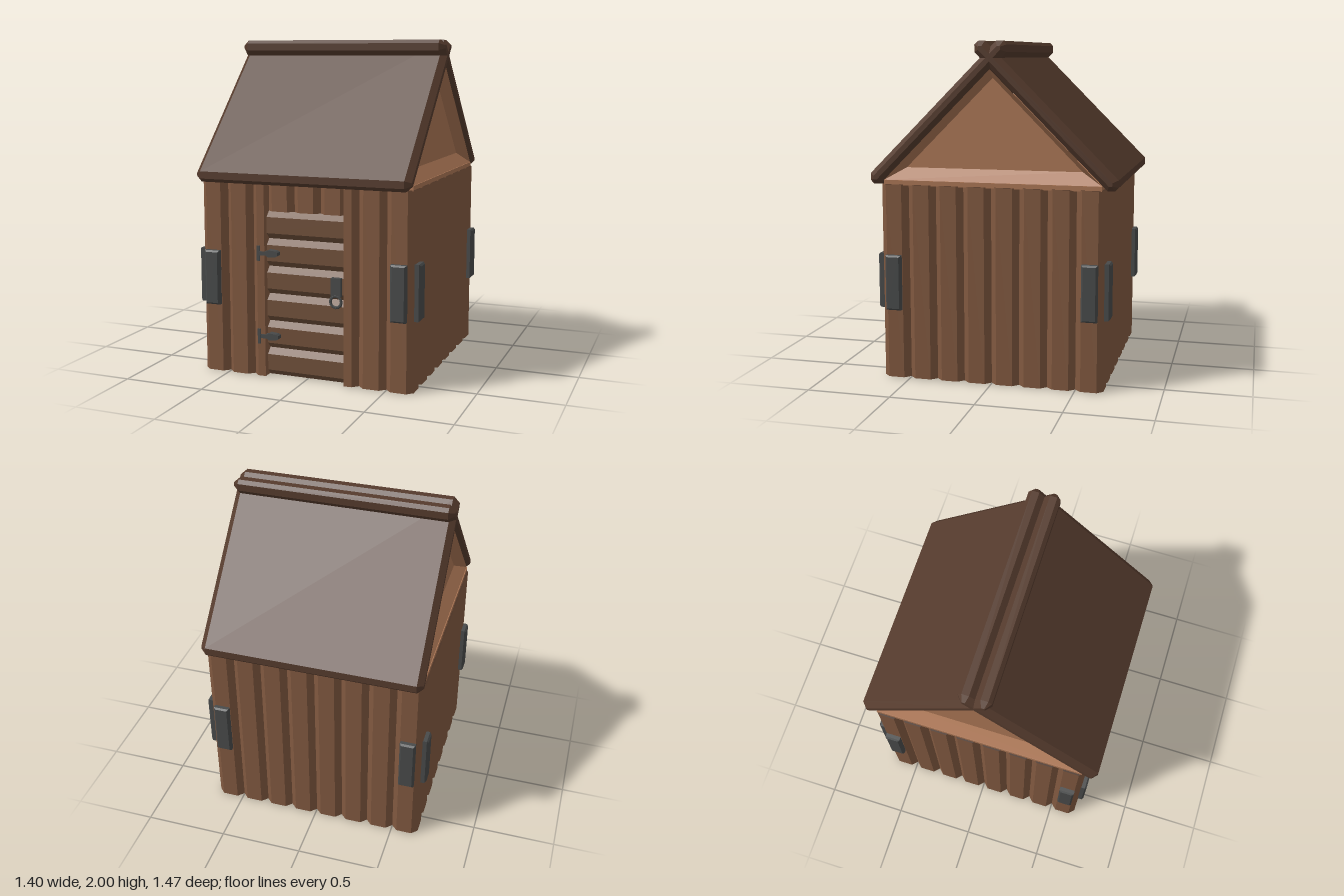
import * as THREE from 'three';

const mat = (color, side = THREE.FrontSide) =>
  new THREE.MeshStandardMaterial({ color, side, flatShading: true });

const HALF = 0.665, GROOVE = 0.035, PITCH = 1 / 6, WALL_TOP = 1.17;

export function createModel() {
  const model = new THREE.Group();
  const wood = mat(0x80583f), doorWood = mat(0x70503a), endWood = mat(0x4a3224);
  const roofWood = mat(0x553b2d), gableWood = mat(0xaa7554, THREE.DoubleSide), metal = mat(0x484a4a);

  const add = (name, geometry, material, parent = model) => {
    const mesh = new THREE.Mesh(geometry, material);
    mesh.name = name;
    parent.add(mesh);
    return mesh;
  };
  const extrude = (points, depth, options = {}) =>
    new THREE.ExtrudeGeometry(new THREE.Shape(points.map(([x, y]) => new THREE.Vector2(x, y))),
      { depth, bevelEnabled: false, ...options });
  // V groove between two planks, as (position, depth) points
  const groove = (s, d) => [[s - GROOVE, d], [s, d - GROOVE], [s + GROOVE, d]];

  // Grooved plank walls: one footprint with a door recess in the front side
  const footprint = [];
  for (let k = 0; k < 4; k++) {
    const side = [[-HALF + GROOVE, HALF]];
    for (let i = -3; i <= 3; i++) {
      if (k > 0 || Math.abs(i) > 1) side.push(...groove(i * PITCH, HALF));
      else if (i === 0) side.push([-0.25, HALF], [-0.25, 0.59], [0.25, 0.59], [0.25, HALF]);
    }
    side.push([HALF - GROOVE, HALF]);
    const c = Math.round(Math.cos(k * Math.PI / 2)), n = Math.round(Math.sin(k * Math.PI / 2));
    for (const [s, d] of side) footprint.push([s * c + d * n, s * n - d * c]);
  }
  add('plankWalls', extrude(footprint, WALL_TOP - 0.004).rotateX(-Math.PI / 2).translate(0, 0.004, 0),
    [endWood, wood]);
  add('floor', new THREE.BoxGeometry(1.18, 0.02, 1.18).translate(0, 0.01, 0), roofWood);

  // Door of horizontal planks, set back from the wall
  const DOOR_Z = 0.63;
  const doorProfile = [[0.57, 0], [DOOR_Z - GROOVE, 0], [DOOR_Z, GROOVE]];
  for (let i = 1; i <= 5; i++) doorProfile.push(...groove(i * PITCH, DOOR_Z).map(([y, z]) => [z, y]));
  doorProfile.push([DOOR_Z, 1 - GROOVE], [DOOR_Z - GROOVE, 1], [0.57, 1]);
  add('door', extrude(doorProfile.map(([z, y]) => [-z, y]), 0.5)
    .rotateY(Math.PI / 2).translate(-0.25, 0, 0), doorWood);

  // Short upright planks above the door
  const lintel = [[-0.25, 0.57], [-0.25, DOOR_Z - GROOVE], [-0.25 + GROOVE, DOOR_Z],
    ...groove(-PITCH / 2, DOOR_Z), ...groove(PITCH / 2, DOOR_Z),
    [0.25 - GROOVE, DOOR_Z], [0.25, DOOR_Z - GROOVE], [0.25, 0.57]];
  add('planksAboveDoor', extrude(lintel.map(([x, z]) => [x, -z]), WALL_TOP - 1)
    .rotateX(-Math.PI / 2).translate(0, 1, 0), wood);

  // Two chamfered roof slabs at 45 degrees that cross at the ridge
  const u0 = -1.465, u1 = -0.32, v0 = 1.301, v1 = 1.39, c = 0.03, r = Math.SQRT1_2;
  const slab = [[u0 + c, v0], [u1 - c, v0], [u1, v0 + c], [u1, v1 - c],
    [u1 - c, v1], [u0 + c, v1], [u0, v1 - c], [u0, v0 + c]];
  for (const [name, s] of [['frontRoof', 1], ['backRoof', -1]]) {
    const section = slab.map(([u, v]) => [-s * (u + v) * r, (v - u) * r]);
    add(name, extrude(section, 1.26, {
      bevelEnabled: true, bevelSegments: 1, bevelThickness: 0.035, bevelSize: 0.03, bevelOffset: -0.03,
    }).rotateY(Math.PI / 2).translate(-0.63, 0, 0), roofWood);
  }

  // Gables: recessed triangles with sloping edges
  add('gableSill', new THREE.BoxGeometry(1.31, 0.03, 1.29).translate(0, 1.18, 0), gableWood);
  for (const [name, s] of [['leftGable', 1], ['rightGable', -1]]) {
    const outer = [[-0.645, 1.195], [0.645, 1.195], [0, 1.84]];
    const inner = [[-0.525, 1.265], [0.525, 1.265], [0, 1.79]];
    const points = [...outer.map(([z, y]) => [s * 0.65, y, z]), ...inner.map(([z, y]) => [s * 0.585, y, z])];
    const index = [3, 5, 4];
    for (let i = 0; i < 3; i++) {
      const j = (i + 1) % 3;
      index.push(i, i + 3, j, j, i + 3, j + 3);
    }
    if (s < 0) index.reverse();
    const g = new THREE.BufferGeometry();
    g.setAttribute('position', new THREE.Float32BufferAttribute(points.flat(), 3));
    g.setIndex(index);
    const flat = g.toNonIndexed();
    flat.computeVertexNormals();
    add(name, flat, gableWood);
  }

  // Metal plates on both faces of each corner
  const plate = extrude([[-0.037, -0.155], [0.037, -0.155], [0.037, 0.155], [-0.037, 0.155]], 0.035,
    { bevelEnabled: true, bevelSegments: 1, bevelSize: 0.01, bevelThickness: 0.01 });
  for (let k = 0; k < 4; k++) {
    const side = new THREE.Group();
    side.name = 'cornerPlates';
    side.rotation.y = k * Math.PI / 2;
    for (const s of [-1, 1]) add('cornerPlate', plate, metal, side).position.set(s * 0.585, 0.587, 0.653);
    model.add(side);
  }

  // Door hinges: upright bar and tapering strap
  const strap = extrude([[-0.285, -0.012], [-0.24, -0.012], [-0.225, -0.022], [-0.18, -0.018], [-0.165, -0.01],
    [-0.165, 0.01], [-0.18, 0.018], [-0.225, 0.022], [-0.24, 0.012], [-0.285, 0.012]], 0.045);
  for (const y of [0.25, 0.753]) {
    const hinge = new THREE.Group();
    hinge.name = 'hinge';
    hinge.position.y = y;
    add('hingeBar', new THREE.BoxGeometry(0.018, 0.09, 0.03).translate(-0.287, 0, 0.659), metal, hinge);
    add('hingeStrap', strap, metal, hinge).position.z = 0.625;
    model.add(hinge);
  }

  // Door latch with pull ring
  add('latchPlate', new THREE.BoxGeometry(0.062, 0.11, 0.03).translate(0.196, 0.582, 0.64), metal);
  add('pullRing', new THREE.TorusGeometry(0.034, 0.009, 6, 12).translate(0.196, 0.498, 0.65), metal);

  return model;
}
